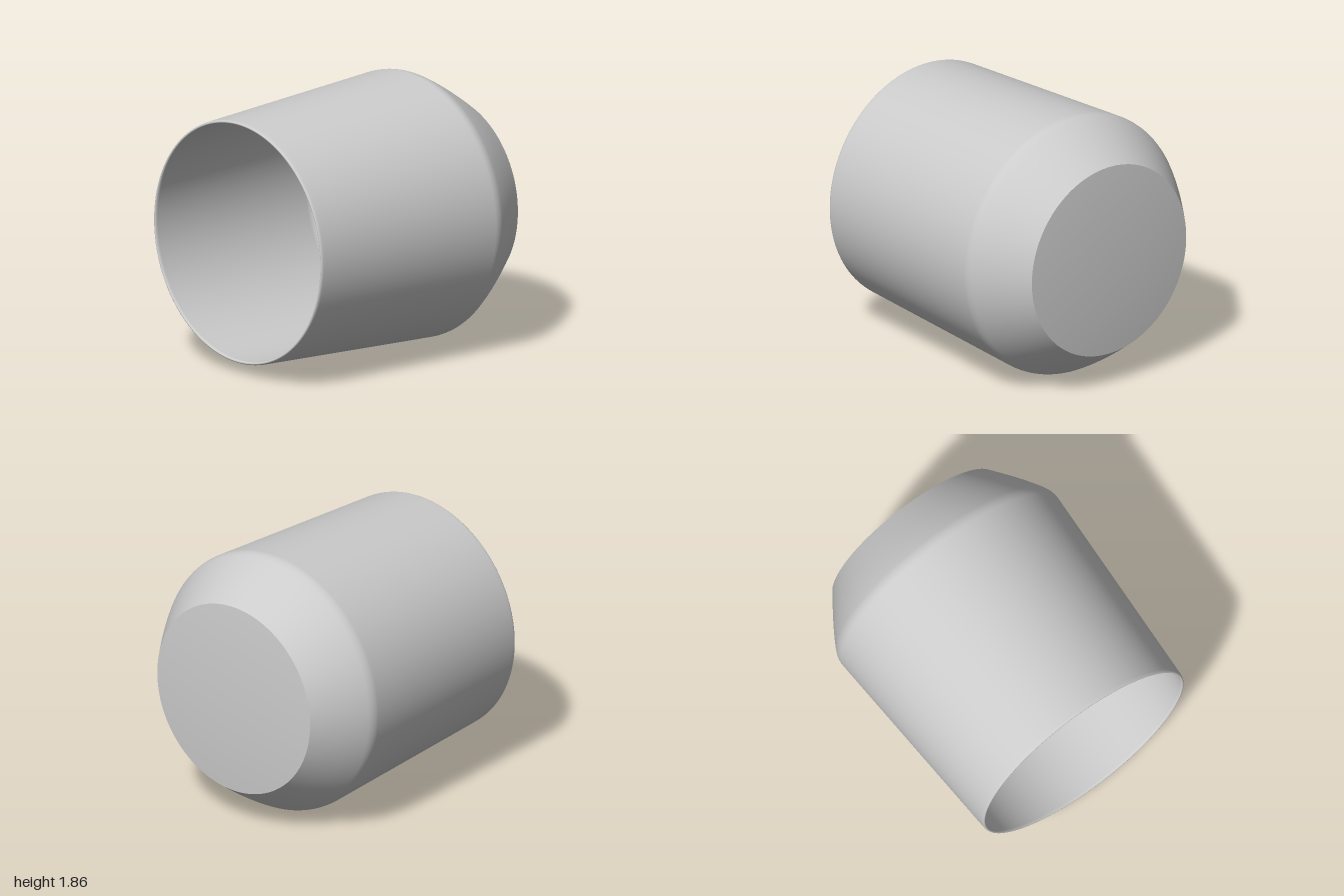
import * as THREE from 'three';

const RADIUS = 0.933;

export function createModel() {
  const group = new THREE.Group();
  const material = new THREE.MeshStandardMaterial({ color: 0xcccccc });

  // Turns a profile of radius and depth about the z axis
  const turn = (name, path) => {
    const points = path.getPoints(16);
    const geometry = new THREE.LatheGeometry(points, 128);
    geometry.rotateX(Math.PI / 2);
    const mesh = new THREE.Mesh(geometry, material);
    mesh.name = name;
    mesh.position.y = RADIUS;
    group.add(mesh);
  };

  // Slightly domed closed end
  const base = new THREE.Path();
  base.moveTo(0, -1);
  base.quadraticCurveTo(0.36, -1, 0.686, -0.973);
  turn('base', base);

  // Curved shoulder, soft widest edge and tapering outer wall
  const outer = new THREE.Path();
  outer.moveTo(0.686, -0.973);
  outer.quadraticCurveTo(0.845, -0.755, 0.915, -0.62);
  outer.quadraticCurveTo(0.935, -0.58, 0.932, -0.54);
  outer.lineTo(0.93, -0.5);
  outer.lineTo(0.855, 0.95);
  outer.lineTo(0.853, 0.98);
  // Thin rounded rim
  outer.quadraticCurveTo(0.851, 1, 0.841, 1);
  outer.quadraticCurveTo(0.831, 1, 0.831, 0.98);
  turn('outerWall', outer);

  // Inner wall with a rounded corner into the floor
  const inner = new THREE.Path();
  inner.moveTo(0.831, 0.98);
  inner.lineTo(0.833, 0.95);
  inner.lineTo(0.904, -0.43);
  inner.lineTo(0.906, -0.46);
  inner.quadraticCurveTo(0.908, -0.52, 0.85, -0.52);
  inner.lineTo(0.82, -0.52);
  inner.lineTo(0, -0.52);
  turn('innerWallAndFloor', inner);

  return group;
}
